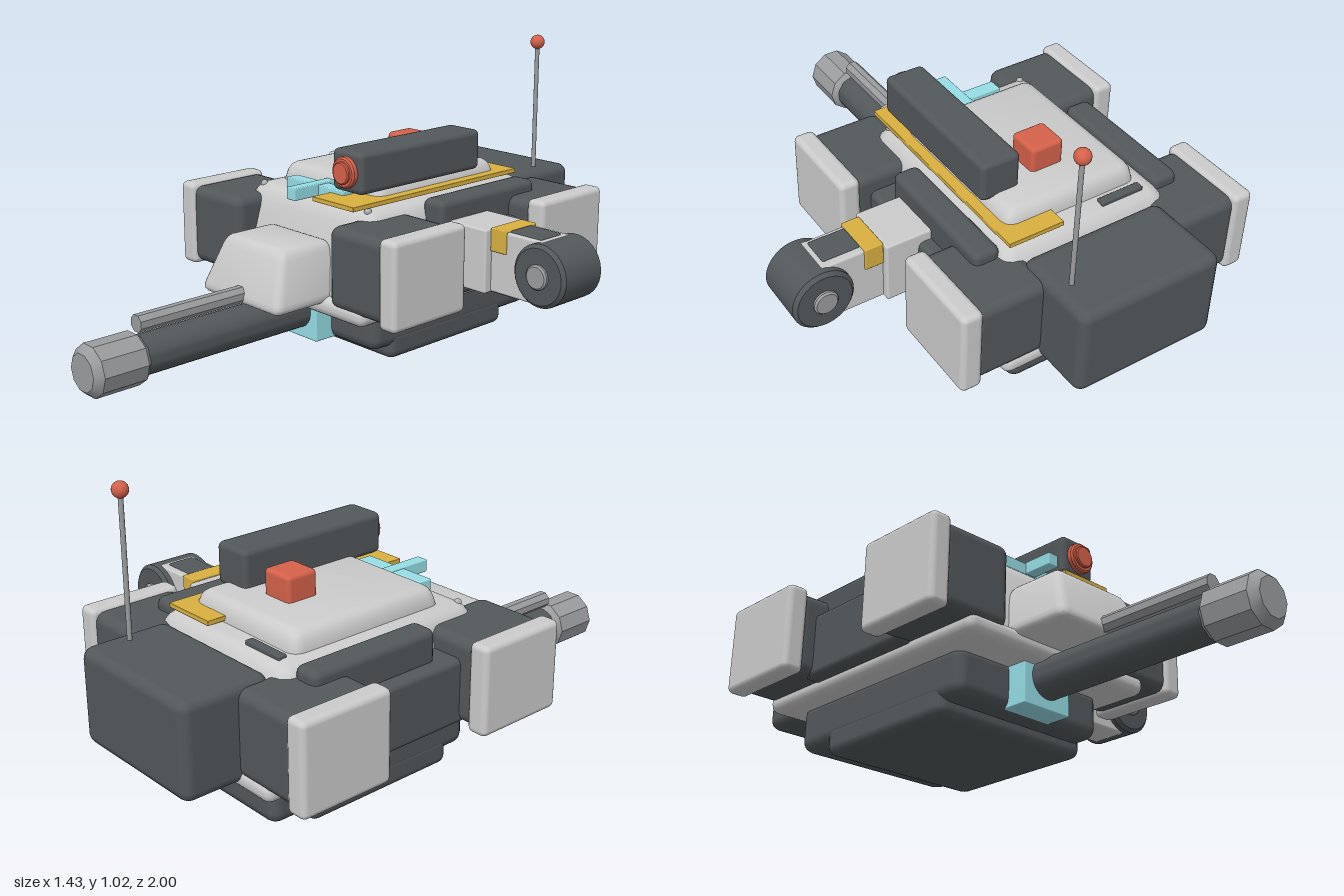
import * as THREE from 'three';
import { RoundedBoxGeometry } from 'three/addons/geometries/RoundedBoxGeometry.js';
import { mergeVertices, toCreasedNormals } from 'three/addons/utils/BufferGeometryUtils.js';

const CX = -0.165; // centre line of the hull

const mat = (color) => new THREE.MeshStandardMaterial({ color });
const GREY = mat(0xcccccc);
const DARK = mat(0x53585b);
const STEEL = mat(0x9a9c9e);
const LIGHT = mat(0xb4b4b4);
const YELLOW = mat(0xd9b040);
const CYAN = mat(0x96dde6);
const RED = mat(0xd5614a);

export function createModel() {
  const group = new THREE.Group();

  const add = (name, geometry, material, x = 0, y = 0, z = 0) => {
    const mesh = new THREE.Mesh(geometry, material);
    mesh.name = name;
    mesh.position.set(x, y, z);
    group.add(mesh);
    return mesh;
  };

  // Rounded box between limits; top = [x0, x1, z0, z1] tapers it to a smaller top
  const box = (name, material, [x0, x1], [y0, y1], [z0, z1], r, top) => {
    let g = new RoundedBoxGeometry(x1 - x0, y1 - y0, z1 - z0, 2, r);
    g.translate((x0 + x1) / 2, (y0 + y1) / 2, (z0 + z1) / 2);
    if (top) {
      const p = g.attributes.position;
      for (let i = 0; i < p.count; i++) {
        const t = (p.getY(i) - y0) / (y1 - y0);
        const u = (p.getX(i) - x0) / (x1 - x0);
        const v = (p.getZ(i) - z0) / (z1 - z0);
        const a = THREE.MathUtils.lerp(x0, top[0], t), b = THREE.MathUtils.lerp(x1, top[1], t);
        const c = THREE.MathUtils.lerp(z0, top[2], t), d = THREE.MathUtils.lerp(z1, top[3], t);
        p.setX(i, a + (b - a) * u);
        p.setZ(i, c + (d - c) * v);
      }
      g.deleteAttribute('normal');
      g.deleteAttribute('uv');
      g = toCreasedNormals(mergeVertices(g, 1e-5), 0.7);
    }
    return add(name, g, material);
  };

  // Cylinder along z with chamfered ends
  const rod = (name, material, x, y, z0, z1, r, sides = 24, chamfer = 0) => {
    const h = z1 - z0;
    const pts = [[0, 0], [r - chamfer, 0], [r, chamfer], [r, h - chamfer], [r - chamfer, h], [0, h]]
      .filter((p, i, all) => i === 0 || p[0] !== all[i - 1][0] || p[1] !== all[i - 1][1])
      .map((p) => new THREE.Vector2(...p));
    const g = new THREE.LatheGeometry(pts, sides, Math.PI / sides).rotateX(Math.PI / 2);
    return add(name, toCreasedNormals(g, 0.6), material, x, y, z0);
  };

  // Base and hull
  box('lowerBase', DARK, [-0.47, 0.14], [0, 0.1], [-0.58, -0.01], 0.03);
  box('upperBase', DARK, [-0.47, 0.14], [0.045, 0.21], [-0.73, 0.07], 0.04);
  box('skirt', GREY, [-0.55, 0.22], [0.185, 0.25], [-0.81, 0.205], 0.03);
  box('hull', GREY, [-0.53, 0.2], [0.2, 0.54], [-0.76, 0.19], 0.06, [-0.47, 0.14, -0.68, 0.085]);
  box('hatch', GREY, [-0.425, 0.09], [0.5, 0.605], [-0.605, 0.005], 0.04, [-0.405, 0.07, -0.585, -0.02]);
  box('sideBand', DARK, [-0.6, 0.27], [0.22, 0.44], [-0.55, -0.06], 0.02);
  box('rearSlot', DARK, [-0.405, -0.245], [0.52, 0.55], [-0.645, -0.615], 0.005);

  // Corner pods, side strips and rivets, mirrored about the centre line
  for (const side of [-1, 1]) {
    const span = (a, b) => [CX + side * a, CX + side * b].sort((p, q) => p - q);
    for (const [name, z0, z1] of [['front', -0.1, 0.21], ['rear', -0.81, -0.5]]) {
      box(name + 'Pod', DARK, span(0.23, 0.5), [0.225, 0.505], [z0, z1], 0.035);
      box(name + 'PodPlate', GREY, span(0.475, 0.55), [0.215, 0.515], [z0 - 0.01, z1 + 0.01], 0.02);
    }
    box('sideStrip', DARK, span(0.295, 0.39), [0.42, 0.545], [-0.64, -0.16], 0.025);
    add('rivet', new THREE.SphereGeometry(0.013, 12, 8), LIGHT, CX + side * 0.265, 0.53, 0.06);
  }

  // Gun
  box('mantlet', GREY, [-0.375, 0.045], [0.225, 0.425], [0.1, 0.41], 0.035, [-0.315, -0.015, 0.12, 0.33]);
  rod('barrel', DARK, CX, 0.15, 0, 0.82, 0.067);
  rod('muzzle', STEEL, CX, 0.148, 0.79, 1, 0.088, 10, 0.025);
  rod('recoilRod', STEEL, CX, 0.257, 0.17, 0.8, 0.03, 8);
  box('barrelBracket', CYAN, [-0.265, -0.07], [0.05, 0.2], [0.04, 0.14], 0.004);

  // Roof fittings
  box('crossBar', CYAN, [-0.31, -0.02], [0.535, 0.575], [0.01, 0.06], 0.004);
  box('crossPointer', CYAN, [-0.186, -0.144], [0.537, 0.58], [-0.02, 0.165], 0.004);
  box('roofPlate', YELLOW, [-0.085, 0.115], [0.545, 0.561], [-0.66, 0.14], 0.002);
  box('sightHousing', DARK, [-0.043, 0.1], [0.585, 0.727], [-0.485, 0.09], 0.02);
  rod('sightRing', RED, 0.03, 0.656, 0.07, 0.11, 0.053, 24, 0.006);
  rod('sightLens', RED, 0.03, 0.656, 0.1, 0.12, 0.038, 24, 0.004);
  box('beacon', RED, [-0.225, -0.105], [0.59, 0.69], [-0.46, -0.345], 0.015);

  // Rear stowage box and antenna
  box('rearBox', DARK, [-0.425, 0.095], [0.205, 0.522], [-1, -0.69], 0.035);
  add('antennaMast', new THREE.CylinderGeometry(0.008, 0.008, 0.46, 12), STEEL, 0.035, 0.75, -0.86);
  add('antennaTip', new THREE.SphereGeometry(0.026, 20, 14), RED, 0.035, 0.99, -0.86);

  // Side arm with its wheel, on the left
  box('armRoot', GREY, [0.18, 0.385], [0.255, 0.475], [-0.395, -0.2], 0.008);
  box('armFork', GREY, [0.36, 0.6], [0.258, 0.473], [-0.37, -0.23], 0.008);
  box('armBand', YELLOW, [0.385, 0.45], [0.4, 0.48], [-0.377, -0.223], 0.004);
  box('armCover', DARK, [0.45, 0.58], [0.42, 0.479], [-0.345, -0.245], 0.006);
  rod('wheel', DARK, 0.606, 0.367, -0.4, -0.2, 0.106, 32, 0.012);
  rod('wheelHub', STEEL, 0.606, 0.367, -0.413, -0.187, 0.042, 20, 0.006);
  const strut = add('armStrut', new THREE.CylinderGeometry(0.018, 0.018, 0.26, 12), STEEL, 0.31, 0.25, -0.295);
  strut.rotation.z = Math.PI / 2;

  return group;
}
